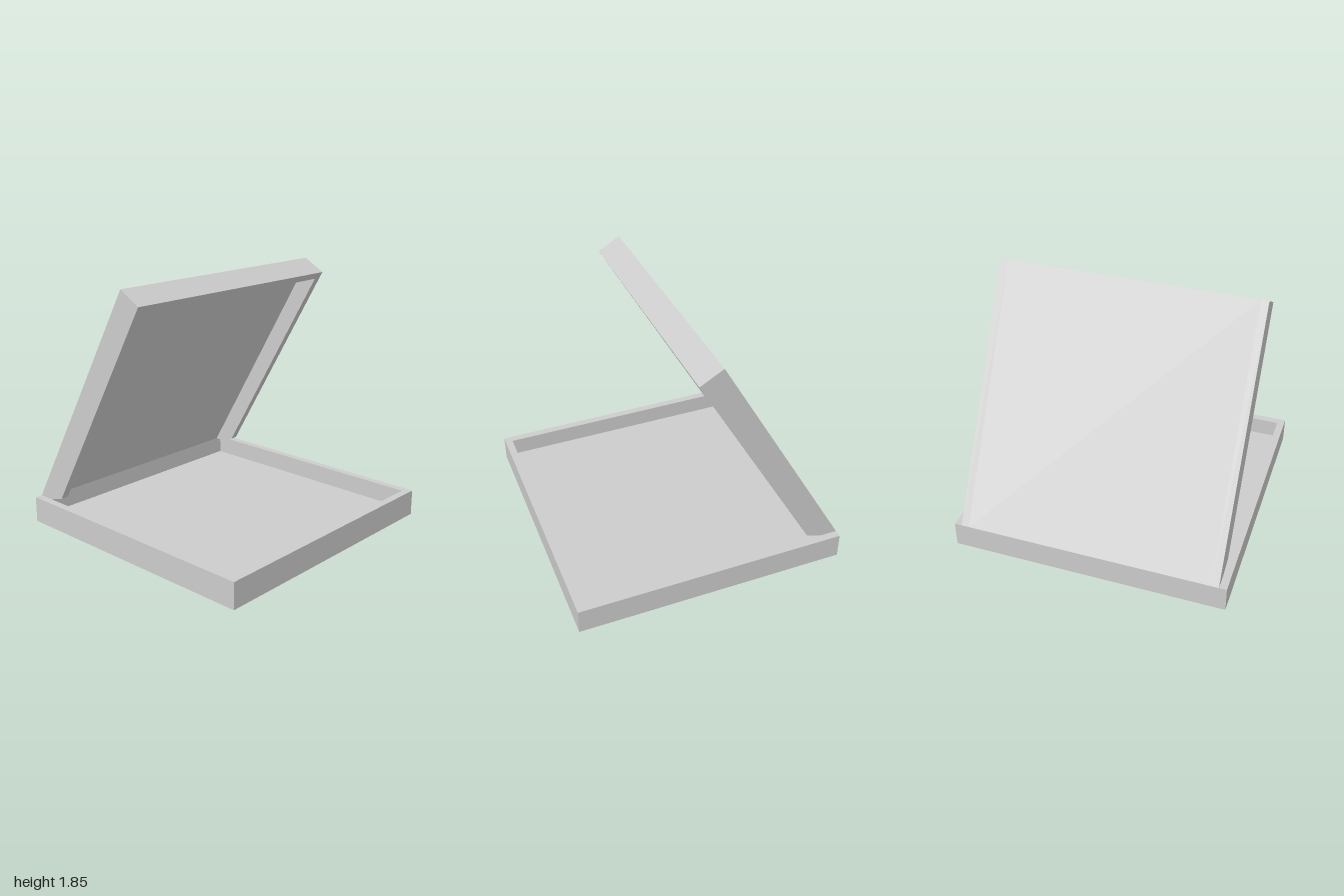
import * as THREE from 'three';

const material = new THREE.MeshStandardMaterial({ color: 0xcccccc, flatShading: true });

// Extrude an x-y outline along z, from z0 to z1
function slab(name, points, z0, z1) {
  const shape = new THREE.Shape(points.map(([x, y]) => new THREE.Vector2(x, y)));
  const geometry = new THREE.ExtrudeGeometry(shape, { depth: z1 - z0, bevelEnabled: false });
  geometry.translate(0, 0, z0);
  const mesh = new THREE.Mesh(geometry, material);
  mesh.name = name;
  return mesh;
}

const rectangle = (x, y) => [[-x, -y], [x, -y], [x, y], [-x, y]].map(([a, b]) => new THREE.Vector2(a, b));

export function createModel() {
  const model = new THREE.Group();
  const halfX = 0.99, halfZ = 1, height = 0.19, wall = 0.055;

  // Base tray: floor plate with a rim around it
  const tray = new THREE.Group();
  tray.name = 'tray';
  const floor = new THREE.Mesh(new THREE.BoxGeometry(2 * halfX, wall, 2 * halfZ), material);
  floor.name = 'trayFloor';
  floor.position.y = wall / 2;
  const rimShape = new THREE.Shape(rectangle(halfX, halfZ));
  rimShape.holes.push(new THREE.Path(rectangle(halfX - wall, halfZ - wall)));
  const rimGeometry = new THREE.ExtrudeGeometry(rimShape, { depth: height - wall, bevelEnabled: false });
  rimGeometry.rotateX(-Math.PI / 2);
  const rim = new THREE.Mesh(rimGeometry, material);
  rim.name = 'trayRim';
  rim.position.y = wall;
  tray.add(floor, rim);

  // Open lid, leaning at 60 degrees; s runs up the lid, n runs through its thickness
  const lid = new THREE.Group();
  lid.name = 'lid';
  const c = Math.cos(Math.PI / 3), k = Math.sin(Math.PI / 3);
  const at = (s, n) => [-halfX + s * c + n * k, height + s * k - n * c];
  const length = 1.917, depth = 0.187;
  const outer = halfZ - wall, inner = outer - wall;

  // Back panel with the top end wall, cut level with the tray at its foot
  lid.add(slab('lidPanel', [
    at(0, 0), at(wall * c / k, wall), at(length - wall, wall),
    at(length - wall, depth), at(length, depth), at(length, 0),
  ], -inner, inner));

  // Side walls with a bevelled foot
  const side = [at(0, 0), [-0.87, height], [-0.75, 0.228], at(length, depth), at(length, 0)];
  lid.add(slab('lidSideLeft', side, inner, outer), slab('lidSideRight', side, -outer, -inner));

  model.add(tray, lid);
  return model;
}
